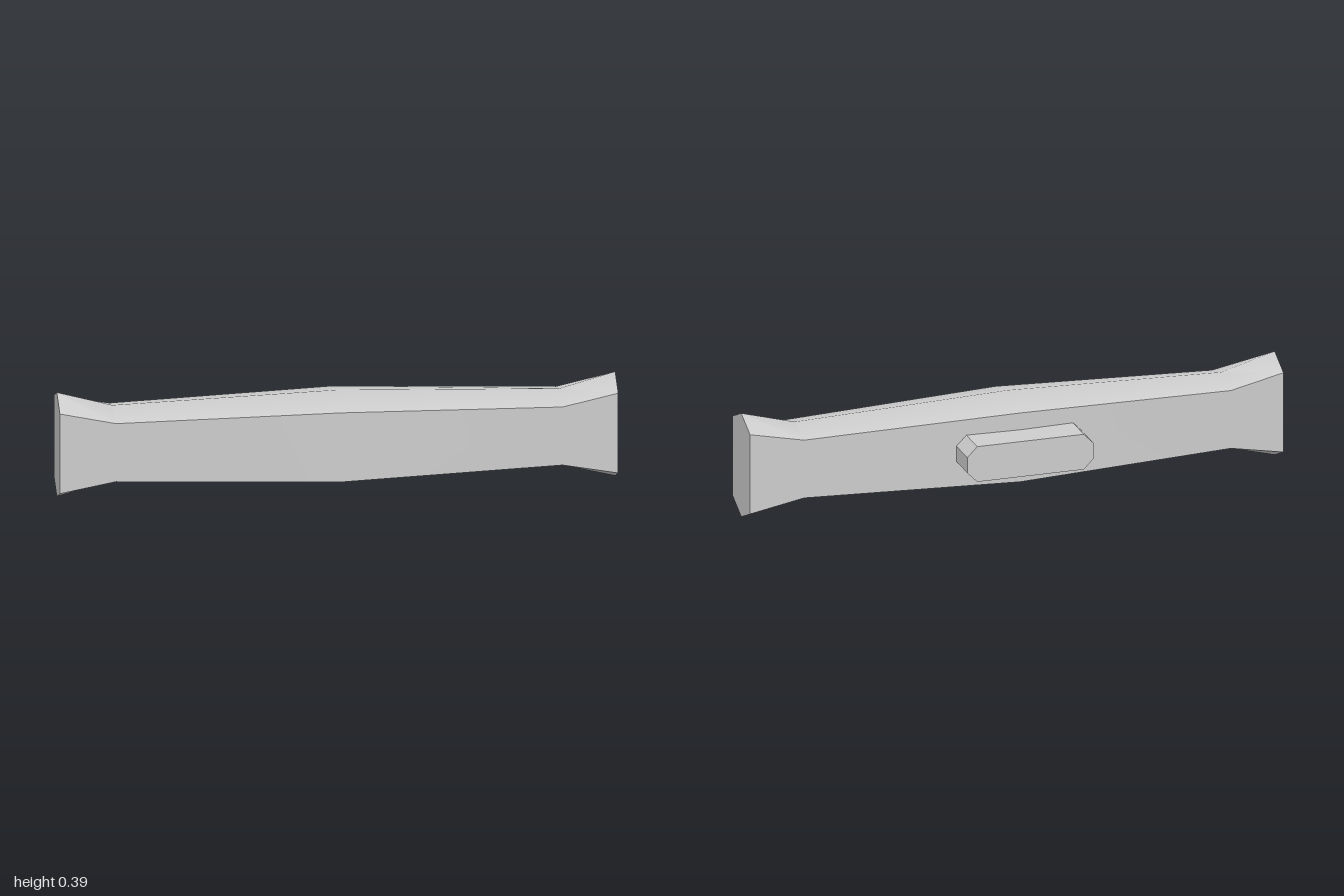
import * as THREE from 'three';
import { toCreasedNormals } from 'three/addons/utils/BufferGeometryUtils.js';

const CY = 0.199, CZ = 0.057;

// Hexagonal cross-section: half depth, half height of the sides, half height of the ridges
function hexRing(x, depth, side, ridge) {
  return [[1, -side], [0, -ridge], [-1, -side], [-1, side], [0, ridge], [1, side]]
    .map(([s, y]) => [x, CY + y, CZ + s * depth]);
}

function loft(rings) {
  const pos = [];
  const tri = (...pts) => pts.forEach((p) => pos.push(...p));
  const n = rings[0].length;
  for (let i = 0; i < rings.length - 1; i++) {
    for (let j = 0; j < n; j++) {
      const k = (j + 1) % n;
      const a = rings[i][j], b = rings[i][k], c = rings[i + 1][k], d = rings[i + 1][j];
      tri(a, b, c);
      tri(a, c, d);
    }
  }
  // end caps
  const first = rings[0], last = rings[rings.length - 1];
  for (let j = 1; j < n - 1; j++) {
    tri(first[0], first[j + 1], first[j]);
    tri(last[0], last[j], last[j + 1]);
  }
  const geo = new THREE.BufferGeometry();
  geo.setAttribute('position', new THREE.Float32BufferAttribute(pos, 3));
  return toCreasedNormals(geo, 0.72);
}

export function createModel() {
  const group = new THREE.Group();
  const grey = new THREE.MeshStandardMaterial({ color: 0xcccccc });
  grey.name = 'lightGrey';

  // Handle bar: thick in the middle, narrowing, then flaring at both ends
  const bar = new THREE.Mesh(loft([
    hexRing(-1, 0.1, 0.151, 0.197),
    hexRing(-0.8, 0.109, 0.11, 0.141),
    hexRing(0, 0.142, 0.131, 0.167),
    hexRing(0.8, 0.109, 0.11, 0.141),
    hexRing(1, 0.1, 0.151, 0.197),
  ]), grey);
  bar.name = 'handleBar';
  group.add(bar);

  // Mounting stem: block with chamfered corners on the back
  const outline = [[-0.2, -0.067], [0.2, -0.067], [0.237, -0.029], [0.237, 0.029],
    [0.2, 0.067], [-0.2, 0.067], [-0.237, 0.029], [-0.237, -0.029]];
  const shape = new THREE.Shape(outline.map(([x, y]) => new THREE.Vector2(x, y)));
  const stem = new THREE.Mesh(
    new THREE.ExtrudeGeometry(shape, { depth: 0.13, bevelEnabled: false }), grey);
  stem.position.set(0, CY, -0.199);
  stem.name = 'mountingStem';
  group.add(stem);

  return group;
}
